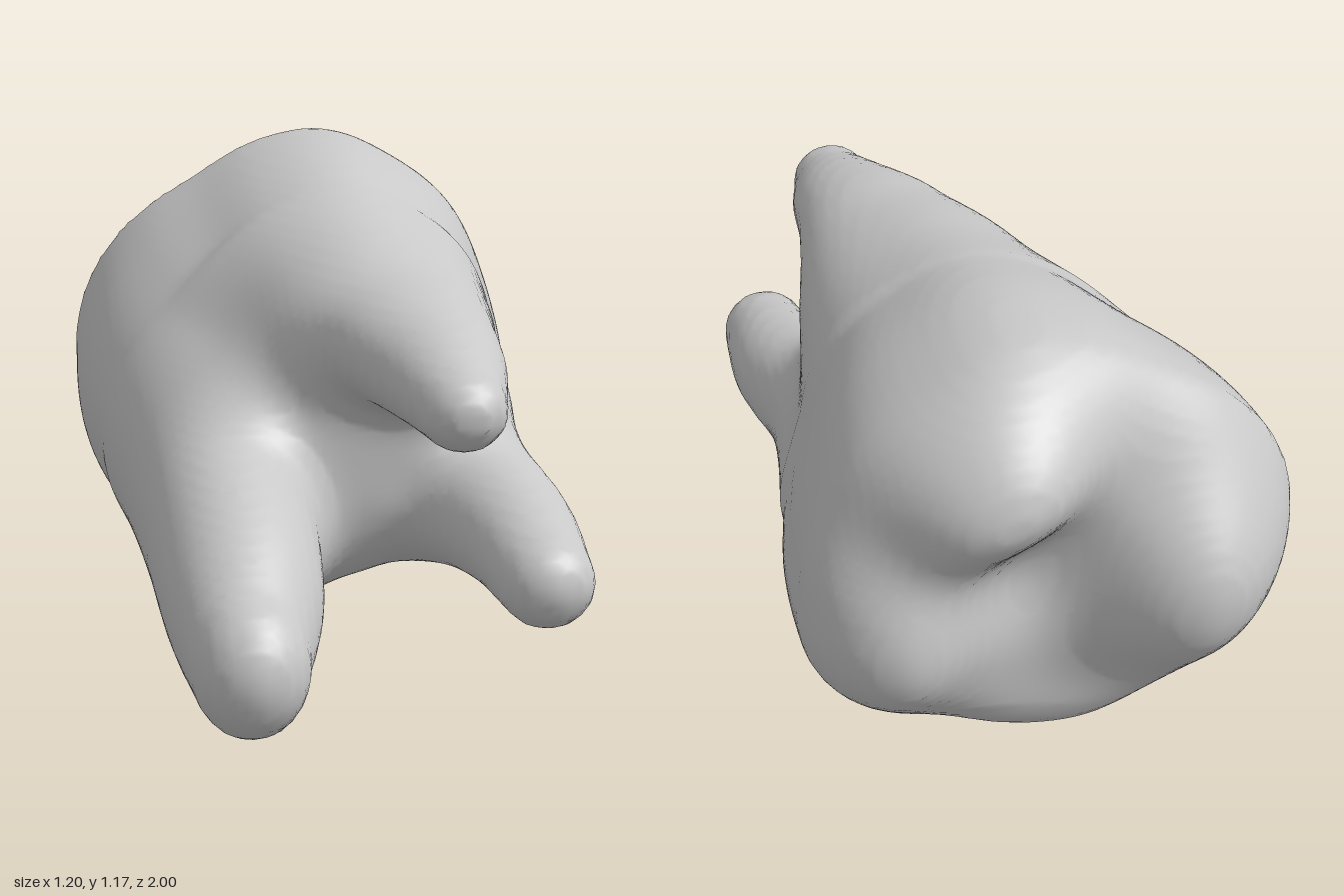
import * as THREE from 'three';

// smooth curve through rows of [position, ...values]
const curve = (rows) => new THREE.CubicInterpolant(rows.map((r) => r[0]), rows.flatMap((r) => r.slice(1)), rows[0].length - 1);

// crown outline: radius every 20 degrees around the long axis
const OUTLINE = curve([0.605, 0.595, 0.6, 0.595, 0.605, 0.585, 0.56, 0.58, 0.605, 0.615, 0.61, 0.6, 0.597, 0.608, 0.588,
  0.575, 0.608, 0.635, 0.605].map((r, i) => [i * 20, r]));
// outline along z: [z, scale, centre x, centre y]
const PROFILE = curve([[-1.1, 0.7, 0.05, 0.61], [-1, 0.79, 0.045, 0.61], [-0.9, 0.88, 0.04, 0.605], [-0.8, 0.945, 0.03, 0.6],
  [-0.65, 0.985, 0.015, 0.598], [-0.45, 0.995, 0, 0.585], [-0.2, 0.925, -0.005, 0.56], [0, 0.845, 0, 0.545],
  [0.2, 0.78, 0, 0.54], [1.2, 0.6, 0, 0.52]]);
// chewing cusps and the pit between them: [x, y, height, width]
const CUSPS = [[0.2, 0.95, 0.215, 0.24], [-0.31, 0.55, 0.2, 0.27], [0.46, 0.51, 0.155, 0.25], [0.07, 0.66, -0.05, 0.2]];
// hollows of the trunk between roots: [angle, depth, half width]
const HOLLOWS = [[140, 0.34, 75], [280, 0.2, 60], [15, 0.12, 40]];
// roots: rounded tip length, then oval sections [z, x, y, radius x, radius y]
const ROOTS = [
  [0.16, [[-0.4, -0.12, 0.46, 0.38, 0.42], [-0.1, -0.2, 0.41, 0.305, 0.34], [0.35, -0.262, 0.34, 0.215, 0.26],
    [0.65, -0.272, 0.27, 0.183, 0.218], [0.84, -0.285, 0.215, 0.137, 0.165]]],
  [0.1, [[-0.3, 0.06, 0.71, 0.42, 0.36], [0.1, 0.14, 0.765, 0.29, 0.24], [0.4, 0.172, 0.815, 0.2, 0.15],
    [0.58, 0.205, 0.788, 0.148, 0.125], [0.735, 0.215, 0.757, 0.103, 0.095]]],
  [0.11, [[-0.3, 0.2, 0.48, 0.34, 0.34], [0.1, 0.3, 0.415, 0.21, 0.21], [0.45, 0.412, 0.358, 0.148, 0.143],
    [0.69, 0.43, 0.322, 0.115, 0.11]]],
].map(([tip, rows]) => ({ tip, path: curve(rows), end: rows[rows.length - 1][0] }));

const smoothMin = (a, b, k) => {
  const h = Math.max(k - Math.abs(a - b), 0);
  return Math.min(a, b) - h * h / (4 * k);
};
const smoothMax = (a, b, k) => -smoothMin(-a, -b, k);

// crown and trunk, cut by the cusped chewing face and rounded off at the fork
function crownField(x, y, z) {
  const [scale, cx, cy] = PROFILE.evaluate(z);
  const angle = (THREE.MathUtils.radToDeg(Math.atan2(y - cy, x - cx)) + 360) % 360;
  let radius = OUTLINE.evaluate(angle)[0] * scale;
  const toFork = THREE.MathUtils.clamp(z + 0.7, 0, 1) ** 0.7;
  for (const [at, depth, width] of HOLLOWS) {
    const off = Math.abs((angle - at + 540) % 360 - 180) / width;
    if (off < 1) radius *= 1 - depth * toFork * Math.cos(off * Math.PI / 2) ** 2;
  }
  let top = -0.8;
  for (const [px, py, h, w] of CUSPS) top -= h * Math.exp(-((((x - px) ** 2 + (y - py) ** 2) / (w * w)) ** 1.25));
  const side = Math.hypot(x - cx, y - cy) - radius;
  return smoothMax(smoothMax(side, (top - z) * 0.8, 0.18), z - 0.32, 0.25);
}

function rootField({ tip, path, end }, x, y, z) {
  const [cx, cy, rx, ry] = path.evaluate(z);
  const past = Math.max(z - end, 0) / tip;
  return (Math.hypot((x - cx) / rx, (y - cy) / ry, past) - 1) * Math.min(rx, ry);
}

function toothField(x, y, z) {
  let f = crownField(x, y, z);
  // roots fade in behind the crown bulge
  const buried = Math.max(-0.2 - z, 0);
  for (const root of ROOTS) f = smoothMin(f, rootField(root, x, y, z) + buried, 0.08);
  return f;
}

// skin a field with quads: one vertex per crossed cell, one quad per crossed edge
function skin(field, min, size, cell) {
  const n = size.map((s) => Math.ceil(s / cell) + 1);
  const step = [1, n[0], n[0] * n[1]];
  const values = new Float32Array(n[0] * n[1] * n[2]);
  const forEach = (margin, fn) => {
    for (let k = 0; k < n[2] - margin; k++)
      for (let j = 0; j < n[1] - margin; j++)
        for (let i = 0; i < n[0] - margin; i++) fn([i, j, k], i + j * step[1] + k * step[2]);
  };
  forEach(0, (p, id) => { values[id] = field(...p.map((c, a) => min[a] + c * cell)); });

  const positions = [], indices = [], vertexOf = new Map();
  forEach(1, (p, id) => {
    const sum = [0, 0, 0];
    let count = 0;
    for (let corner = 0; corner < 8; corner++) {
      const o = [corner & 1, (corner >> 1) & 1, corner >> 2];
      const at = id + o[0] * step[0] + o[1] * step[1] + o[2] * step[2];
      for (let a = 0; a < 3; a++) {
        if (o[a]) continue;
        const v0 = values[at], v1 = values[at + step[a]];
        if (v0 < 0 === v1 < 0) continue;
        for (let c = 0; c < 3; c++) sum[c] += o[c] + (c === a ? v0 / (v0 - v1) : 0);
        count++;
      }
    }
    if (!count) return;
    vertexOf.set(id, positions.length / 3);
    for (let c = 0; c < 3; c++) positions.push(min[c] + (p[c] + sum[c] / count) * cell);
  });
  forEach(1, (p, id) => {
    for (let a = 0; a < 3; a++) {
      const inside = values[id] < 0;
      if (inside === values[id + step[a]] < 0) continue;
      const u = step[(a + 1) % 3], v = step[(a + 2) % 3];
      const q = [id, id - u, id - u - v, id - v].map((c) => vertexOf.get(c));
      if (!inside) q.reverse();
      indices.push(q[0], q[1], q[2], q[0], q[2], q[3]);
    }
  });
  const geometry = new THREE.BufferGeometry();
  geometry.setAttribute('position', new THREE.Float32BufferAttribute(positions, 3));
  geometry.setIndex(indices);
  geometry.computeVertexNormals();
  return geometry;
}

export function createModel() {
  const enamel = new THREE.MeshStandardMaterial({ color: 0xc8c8c8 });
  enamel.name = 'enamelGrey';
  const group = new THREE.Group();
  group.name = 'molar';
  const tooth = new THREE.Mesh(skin(toothField, [-0.75, -0.12, -1.15], [1.5, 1.45, 2.3], 0.025), enamel);
  tooth.name = 'crownAndRoots';
  group.add(tooth);
  return group;
}
